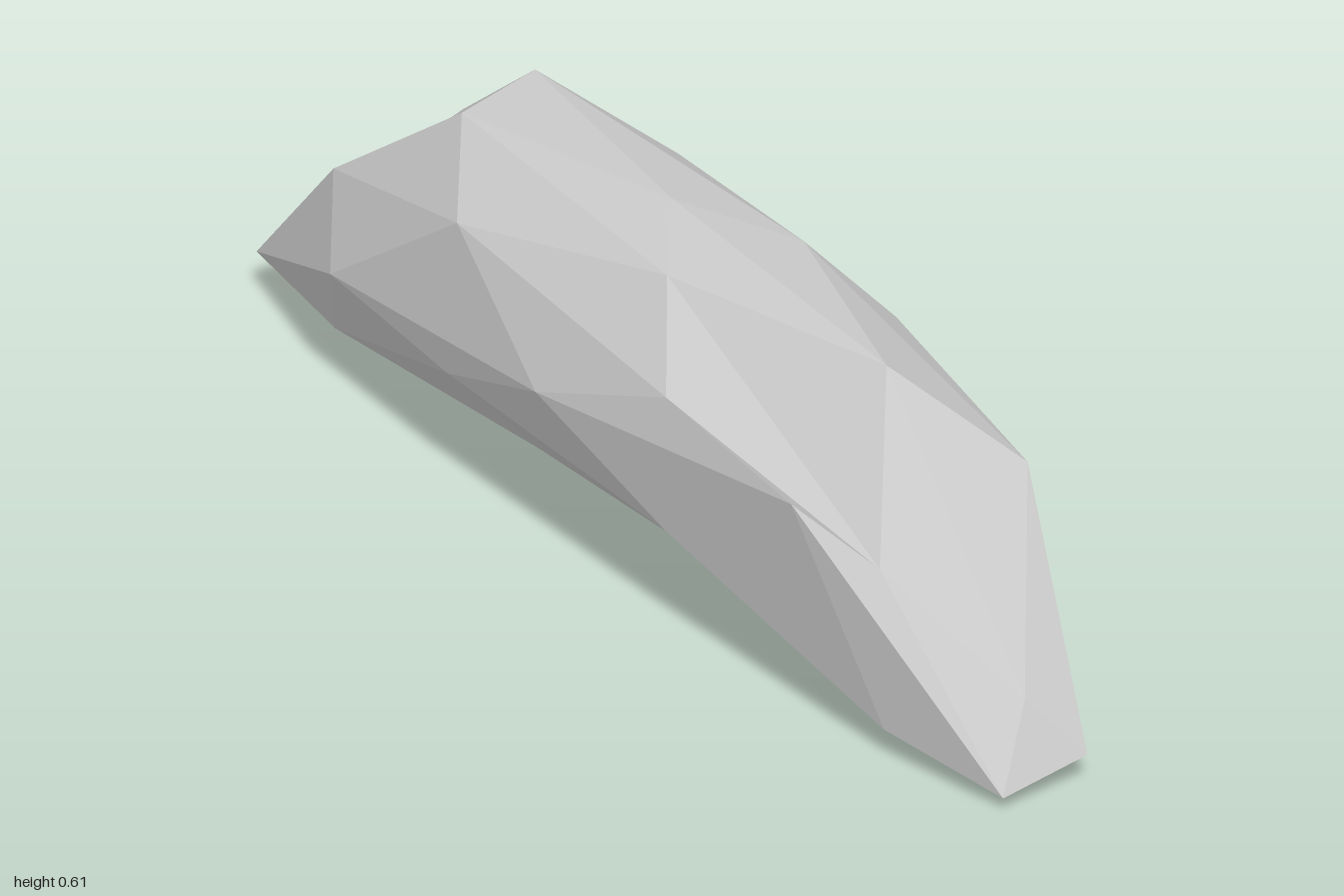
import * as THREE from 'three';

// Bent low-poly stone: stacked rings of an icosphere with a height per point.
// Each ring: points go round from +x towards +z; start is the first angle in degrees,
// radii alternate round the ring, x and y place each point along and up the stone.
const RINGS = [
  { start: 0, radii: [0], x: [0], y: [0.605] },
  { start: 0, radii: [0.526], x: [0.575, 0.17, -0.45, -0.48, 0.17], y: [0.575, 0.59, 0.575, 0.585, 0.565] },
  {
    start: 0, radii: [0.894, 0.851],
    x: [0.945, 0.74, 0.295, -0.28, -0.715, -0.89, -0.75, -0.28, 0.29, 0.77],
    y: [0.15, 0.33, 0.46, 0.5, 0.37, 0.2, 0.37, 0.485, 0.455, 0.45],
  },
  {
    start: 18, radii: [1],
    x: [1, 0.615, 0, -0.62, -1, -1, -0.62, 0, 0.62, 1],
    y: [0.025, 0.415, 0.345, 0.25, 0.07, 0.07, 0.255, 0.345, 0.235, 0.05],
  },
  {
    start: 0, radii: [0.851, 0.894],
    x: [0.89, 0.76, 0.28, -0.29, -0.72, -0.93, -0.72, -0.29, 0.28, 0.76],
    y: [0.04, 0.055, 0.21, 0.23, 0.08, 0.07, 0, 0.22, 0.21, 0.135],
  },
  { start: 36, radii: [0.526], x: [0.445, -0.17, -0.555, -0.17, 0.445], y: [0.12, 0.12, 0.025, 0.125, 0.12] },
  { start: 0, radii: [0], x: [0], y: [0.08] },
];
const HALF_DEPTH = 0.26;

function ringPoints({ start, radii, x, y }) {
  return y.map((h, i) => {
    const a = THREE.MathUtils.degToRad(start + (360 / y.length) * i);
    return [x[i], h, Math.sin(a) * radii[i % radii.length] * HALF_DEPTH];
  });
}

function stoneGeometry() {
  const [top, a, b, c, d, e, bottom] = RINGS.map(ringPoints);
  const positions = [];
  const at = (ring, i) => ring[(i + ring.length) % ring.length];
  const tri = (...corners) => corners.forEach((p) => positions.push(...p));

  // caps: a fan at each pole, then the five-point ring joined to the ten-point ring
  for (let i = 0; i < 5; i++) {
    const u = 2 * i, l = 2 * i + 1;
    tri(top[0], at(a, i + 1), at(a, i));
    tri(at(a, i), at(b, u), at(b, u - 1));
    tri(at(a, i), at(b, u + 1), at(b, u));
    tri(at(a, i), at(a, i + 1), at(b, u + 1));
    tri(bottom[0], at(e, i), at(e, i + 1));
    tri(at(e, i), at(d, l - 1), at(d, l));
    tri(at(e, i), at(d, l), at(d, l + 1));
    tri(at(e, i), at(d, l + 1), at(e, i + 1));
  }
  // sides: zigzag bands above and below the middle ring
  for (let k = 0; k < 10; k++) {
    tri(at(b, k), at(b, k + 1), at(c, k));
    tri(at(b, k + 1), at(c, k + 1), at(c, k));
    tri(at(d, k), at(c, k), at(d, k + 1));
    tri(at(d, k + 1), at(c, k), at(c, k + 1));
  }
  const geometry = new THREE.BufferGeometry();
  geometry.setAttribute('position', new THREE.Float32BufferAttribute(positions, 3));
  geometry.computeVertexNormals(); // unshared corners give flat facets
  return geometry;
}

export function createModel() {
  const group = new THREE.Group();
  group.name = 'curvedStone';
  const stoneGrey = new THREE.MeshStandardMaterial({ color: 0xcaca_ca });
  stoneGrey.name = 'stoneGrey';
  const stone = new THREE.Mesh(stoneGeometry(), stoneGrey);
  stone.name = 'stone';
  group.add(stone);
  return group;
}
